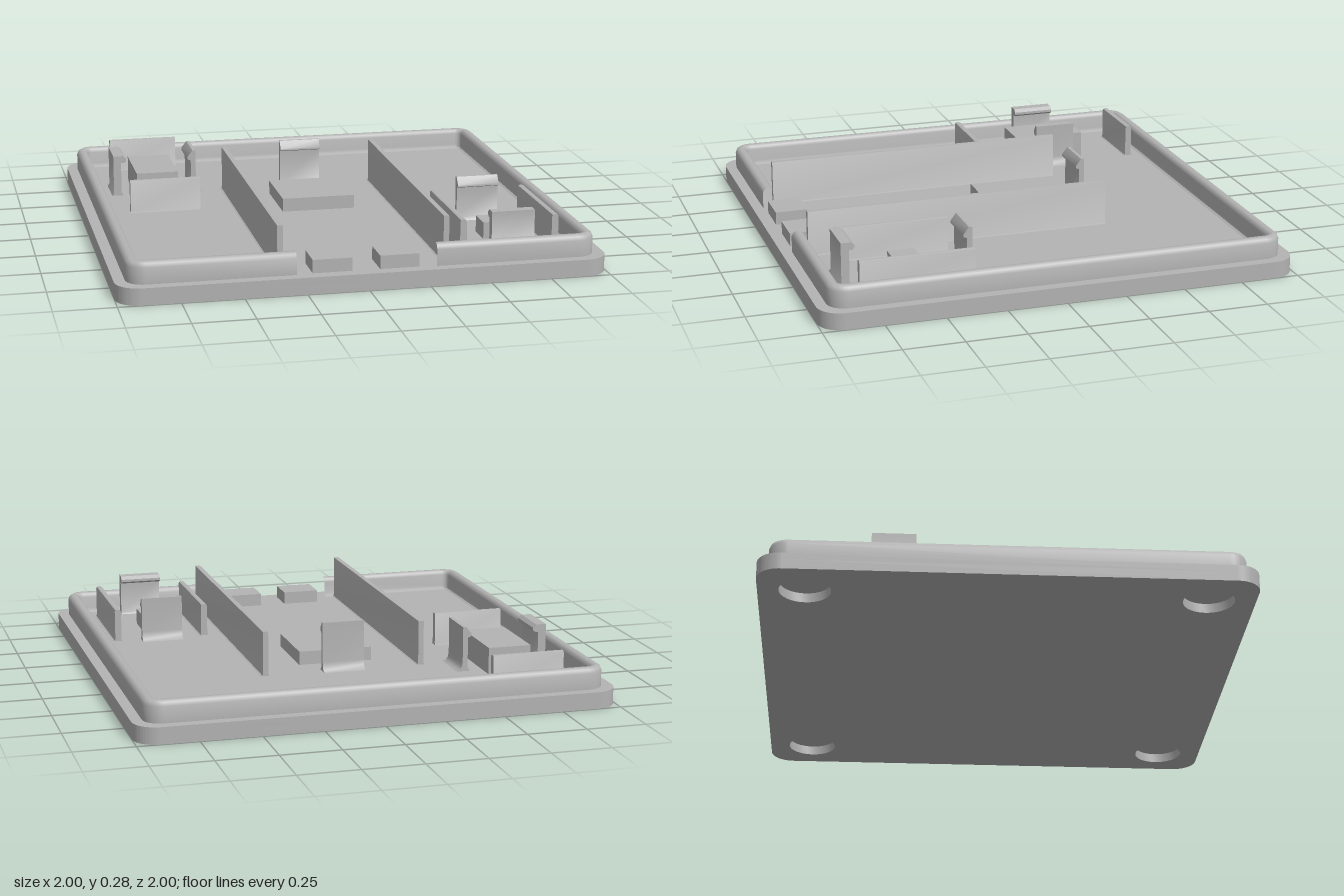
import * as THREE from 'three';
import { toCreasedNormals } from 'three/addons/utils/BufferGeometryUtils.js';

const FLOOR = 0.07;

export function createModel() {
  const model = new THREE.Group();
  model.name = 'enclosureBase';
  const grey = new THREE.MeshStandardMaterial({ color: 0xb3b3b3 });
  grey.name = 'greyPlastic';

  function add(name, geometry, x = 0, y = 0, z = 0, turn = 0) {
    const mesh = new THREE.Mesh(geometry, grey);
    mesh.name = name;
    mesh.position.set(x, y, z);
    mesh.rotation.y = turn;
    model.add(mesh);
    return mesh;
  }

  // Base plate: lower layer with four round foot recesses, solid upper layer
  function roundedSquare(h, r) {
    const s = new THREE.Shape();
    s.moveTo(h - r, -h);
    s.absarc(h - r, -h + r, r, -Math.PI / 2, 0);
    s.absarc(h - r, h - r, r, 0, Math.PI / 2);
    s.absarc(-h + r, h - r, r, Math.PI / 2, Math.PI);
    s.absarc(-h + r, -h + r, r, Math.PI, Math.PI * 1.5);
    s.closePath();
    return s;
  }
  function slab(shape, y0, y1) {
    const g = new THREE.ExtrudeGeometry(shape, { depth: y1 - y0, bevelEnabled: false, curveSegments: 16 });
    g.rotateX(-Math.PI / 2);
    return toCreasedNormals(g.translate(0, y0, 0), 0.6);
  }
  const lower = roundedSquare(1, 0.1);
  for (const x of [-0.81, 0.81]) for (const z of [-0.81, 0.81]) {
    lower.holes.push(new THREE.Path().absarc(x, z, 0.105, 0, Math.PI * 2, true));
  }
  add('baseWithFootRecesses', slab(lower, 0, 0.04));
  add('floorPlate', slab(roundedSquare(1, 0.1), 0.04, FLOOR));

  // Raised rim: a rounded profile swept round the edge, open at the front
  const profile = [[0, FLOOR], [0, 0.138], [-0.006, 0.153], [-0.018, 0.16], [-0.034, 0.16], [-0.045, 0.153],
    [-0.05, 0.14], [-0.05, 0.088], [-0.054, 0.075], [-0.064, FLOOR]];
  const half = 0.955, radius = 0.075, gap = 0.285, c = half - radius;
  const stations = [[gap, c, Math.PI / 2]];
  [[1, 1], [1, -1], [-1, -1], [-1, 1]].forEach(([sx, sz], k) => {
    for (let i = 0; i <= 8; i++) stations.push([sx * c, sz * c, Math.PI / 2 * (1 - k - i / 8)]);
  });
  stations.push([-gap, c, -Math.PI * 1.5]);
  const pos = [], idx = [], n = profile.length;
  stations.forEach(([cx, cz, a], s) => {
    profile.forEach(([o, y], j) => {
      pos.push(cx + Math.cos(a) * (radius + o), y, cz + Math.sin(a) * (radius + o));
      if (s && j) {
        const p = (s - 1) * n + j - 1, q = s * n + j - 1;
        idx.push(p, q, p + 1, q, q + 1, p + 1);
      }
    });
  });
  const rim = new THREE.BufferGeometry();
  rim.setAttribute('position', new THREE.Float32BufferAttribute(pos, 3));
  rim.setIndex(idx);
  add('rim', toCreasedNormals(rim, 0.7));

  // Rim end faces beside the opening
  const section = new THREE.Shape(profile.map(([o, y]) => new THREE.Vector2(o, y)));
  add('rimEndRight', new THREE.ShapeGeometry(section), -gap, 0, half, -Math.PI / 2)
    .rotation.y = -Math.PI / 2;
  const end = new THREE.ShapeGeometry(section);
  end.scale(-1, 1, 1);
  const order = end.index.array;
  for (let i = 0; i < order.length; i += 3) [order[i], order[i + 1]] = [order[i + 1], order[i]];
  add('rimEndLeft', end, gap, 0, half, Math.PI / 2);

  // Profile (u, y) extruded to a centred length
  function bar(points, length) {
    const s = new THREE.Shape(points.map(([u, y]) => new THREE.Vector2(u, y)));
    const g = new THREE.ExtrudeGeometry(s, { depth: length, bevelEnabled: false });
    return toCreasedNormals(g.translate(0, 0, -length / 2), 0.7);
  }

  // Thin upright wall with filleted foot and optionally rounded top
  function wall(t, top, length, r) {
    const h = t / 2, f = 0.009;
    const right = [[h + f, FLOOR], [h + f * 0.3, FLOOR + f * 0.3], [h, FLOOR + f],
      [h, top - r], [h - r * 0.3, top - r * 0.3], [h - r, top]];
    return bar([...right, ...right.map(([u, y]) => [-u, y]).reverse()], length);
  }
  for (const x of [-0.341, 0.337]) add('longRail', wall(0.023, 0.26, 1.3, 0.002), x, 0, 0.25);
  for (const z of [-0.834, -0.092]) add('retainingWall', wall(0.028, 0.212, 0.305, 0.01), -0.655, 0, z, Math.PI / 2);
  for (const x of [0.435, 0.823]) add('retainingWall', wall(0.028, 0.212, 0.475, 0.01), x, 0, 0.57);

  // Snap clips: u = 0 is the back, the hook points towards +u
  const stiffClip = [[-0.008, FLOOR], [0, 0.08], [0, 0.25], [0.042, 0.25], [0.057, 0.237], [0.057, 0.226],
    [0.048, 0.218], [0.034, 0.218], [0.034, 0.08], [0.042, FLOOR]].reverse();
  const springClip = (top) => [[-0.028, FLOOR], [-0.012, 0.076], [-0.003, 0.09], [0, 0.11], [0, top],
    [0.014, top], [0.037, top - 0.03], [0.037, top - 0.04], [0.022, top - 0.046], [0.022, 0.085], [0.034, FLOOR]].reverse();
  add('stiffClip', bar(stiffClip, 0.18), -0.845, 0, -0.46, 0);
  add('springClip', bar(springClip(0.26), 0.18), -0.476, 0, -0.46, Math.PI);
  add('stiffClip', bar(stiffClip, 0.18), 0.63, 0, 0.853, Math.PI / 2);
  add('springClip', bar(springClip(0.26), 0.18), 0.63, 0, 0.31, -Math.PI / 2);
  add('centreClip', bar(springClip(0.28), 0.18), 0, 0, -0.396, -Math.PI / 2);

  // Support blocks: x0, x1, z0, z1, top
  [
    ['centreBlock', -0.16, 0.157, -0.27, 0.045, 0.128],
    ['rearBlock', -0.75, -0.565, -0.622, -0.305, 0.183],
    ['smallBlock', 0.573, 0.685, 0.513, 0.625, 0.14],
    ['frontBlock', -0.22, -0.06, 0.81, 0.947, 0.125],
    ['frontBlock', 0.054, 0.214, 0.81, 0.947, 0.125],
  ].forEach(([name, x0, x1, z0, z1, top]) => add(name, new THREE.BoxGeometry(x1 - x0, top - FLOOR, z1 - z0),
    (x0 + x1) / 2, (top + FLOOR) / 2, (z0 + z1) / 2));

  return model;
}
